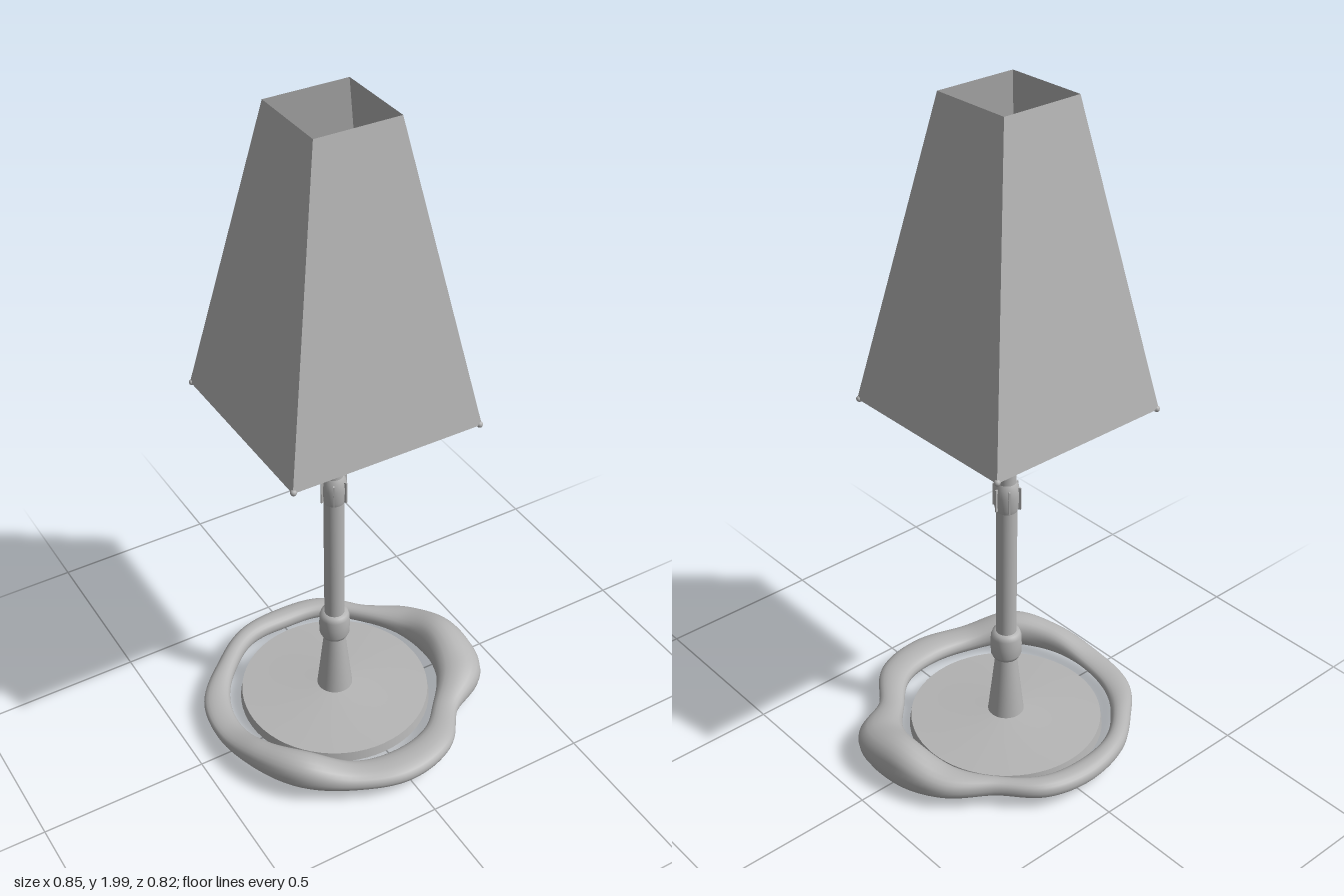
import * as THREE from 'three';

const CX = -0.022, CZ = -0.031;

export function createModel() {
  const group = new THREE.Group();
  const grey = new THREE.MeshStandardMaterial({ color: 0xb4b4b4 });
  grey.name = 'plain grey';
  const greyThin = grey;
  greyThin.side = THREE.DoubleSide;

  const add = (name, geometry, x = CX, y = 0, z = CZ) => {
    const mesh = new THREE.Mesh(geometry, grey);
    mesh.name = name;
    mesh.position.set(x, y, z);
    group.add(mesh);
    return mesh;
  };
  const lathe = (name, points, segments = 40) =>
    add(name, new THREE.LatheGeometry(points.map(p => new THREE.Vector2(...p)), segments));

  // Round foot plate with a flat underside
  add('footPlate', new THREE.CylinderGeometry(0.285, 0.29, 0.03, 64), CX, 0.055);
  lathe('footDome', [[0.285, 0.07], [0.15, 0.078], [0.052, 0.088]], 64);

  // Tapered neck, collar and pole
  lathe('neck', [[0.056, 0.07], [0.052, 0.1], [0.041, 0.2], [0.03, 0.3]]);
  lathe('collar', [[0.028, 0.285], [0.039, 0.287], [0.045, 0.3], [0.046, 0.33],
    [0.045, 0.36], [0.04, 0.375], [0.028, 0.378]]);
  lathe('pole', [[0.03, 0.3], [0.03, 0.84], [0.027, 0.88], [0.027, 1.3]]);
  lathe('poleKnob', [[0.028, 0.79], [0.035, 0.81], [0.037, 0.85], [0.034, 0.875], [0.026, 0.89]]);

  // Small upright slivers around the knob
  for (let i = 0; i < 6; i++) {
    const a = i * Math.PI / 3;
    const fin = add('knobFin', new THREE.BoxGeometry(0.008, 0.07, 0.004),
      CX + 0.038 * Math.cos(a), 0.84, CZ + 0.038 * Math.sin(a));
    fin.rotation.y = -a;
  }

  // Socket and bulb hidden inside the shade
  lathe('socket', [[0.027, 1.27], [0.035, 1.3], [0.052, 1.33], [0.055, 1.37]]);
  add('bulb', new THREE.SphereGeometry(0.104, 40, 28), CX, 1.44);

  // Square tapered shade, open at both ends
  const shade = new THREE.CylinderGeometry(0.123 * Math.SQRT2, 0.287 * Math.SQRT2, 0.865, 4, 1, true)
    .rotateY(Math.PI / 4).toNonIndexed();
  shade.computeVertexNormals();
  add('shade', shade, CX, 1.5675);

  // Little corner tips at the hem
  for (const sx of [-1, 1]) for (const sz of [-1, 1])
    add('hemTip', new THREE.SphereGeometry(0.009, 10, 8), CX + sx * 0.283, 1.135, CZ + sz * 0.283);

  add('wreath', wreathGeometry(), -0.02, 0, -0.02);
  return group;
}

// Irregular ring around the foot: a closed loop of rounded sections
function wreathGeometry() {
  // outer radius, inner radius, bottom, top; every 22.5 degrees from +x towards +z
  const stations = [
    [0.437, 0.315, 0.01, 0.155], [0.45, 0.31, 0.02, 0.125], [0.378, 0.3, 0.04, 0.09], [0.42, 0.32, 0.045, 0.1],
    [0.43, 0.32, 0.04, 0.1], [0.415, 0.32, 0.04, 0.105], [0.425, 0.325, 0.045, 0.15], [0.412, 0.33, 0.045, 0.13],
    [0.41, 0.33, 0.045, 0.09], [0.41, 0.33, 0.04, 0.085], [0.385, 0.325, 0.04, 0.095], [0.39, 0.33, 0.045, 0.1],
    [0.39, 0.32, 0.04, 0.095], [0.39, 0.325, 0.045, 0.1], [0.362, 0.31, 0.045, 0.1], [0.412, 0.31, 0.035, 0.115],
  ];
  const radii = new THREE.CatmullRomCurve3(
    stations.map(s => new THREE.Vector3(s[0], s[1], 0)), true, 'catmullrom', 0.5);
  const heights = new THREE.CatmullRomCurve3(
    stations.map(s => new THREE.Vector3(s[2], s[3], 0)), true, 'catmullrom', 0.5);
  const N = 128, M = 20, pos = [], index = [];
  for (let i = 0; i < N; i++) {
    const a = i / N * Math.PI * 2, r = radii.getPoint(i / N), h = heights.getPoint(i / N);
    for (let j = 0; j < M; j++) {
      const b = j / M * Math.PI * 2;
      const rad = (r.x + r.y) / 2 + (r.x - r.y) / 2 * Math.cos(b);
      const sn = Math.sin(b);
      const y = (h.x + h.y) / 2 + (h.y - h.x) / 2 * Math.sign(sn) * Math.pow(Math.abs(sn), 0.85);
      pos.push(rad * Math.cos(a), y, rad * Math.sin(a));
      const i2 = (i + 1) % N, j2 = (j + 1) % M;
      const p = i * M + j, q = i2 * M + j, s = i2 * M + j2, t = i * M + j2;
      index.push(p, t, q, q, t, s);
    }
  }
  const g = new THREE.BufferGeometry();
  g.setAttribute('position', new THREE.Float32BufferAttribute(pos, 3));
  g.setIndex(index);
  g.computeVertexNormals();
  return g;
}
